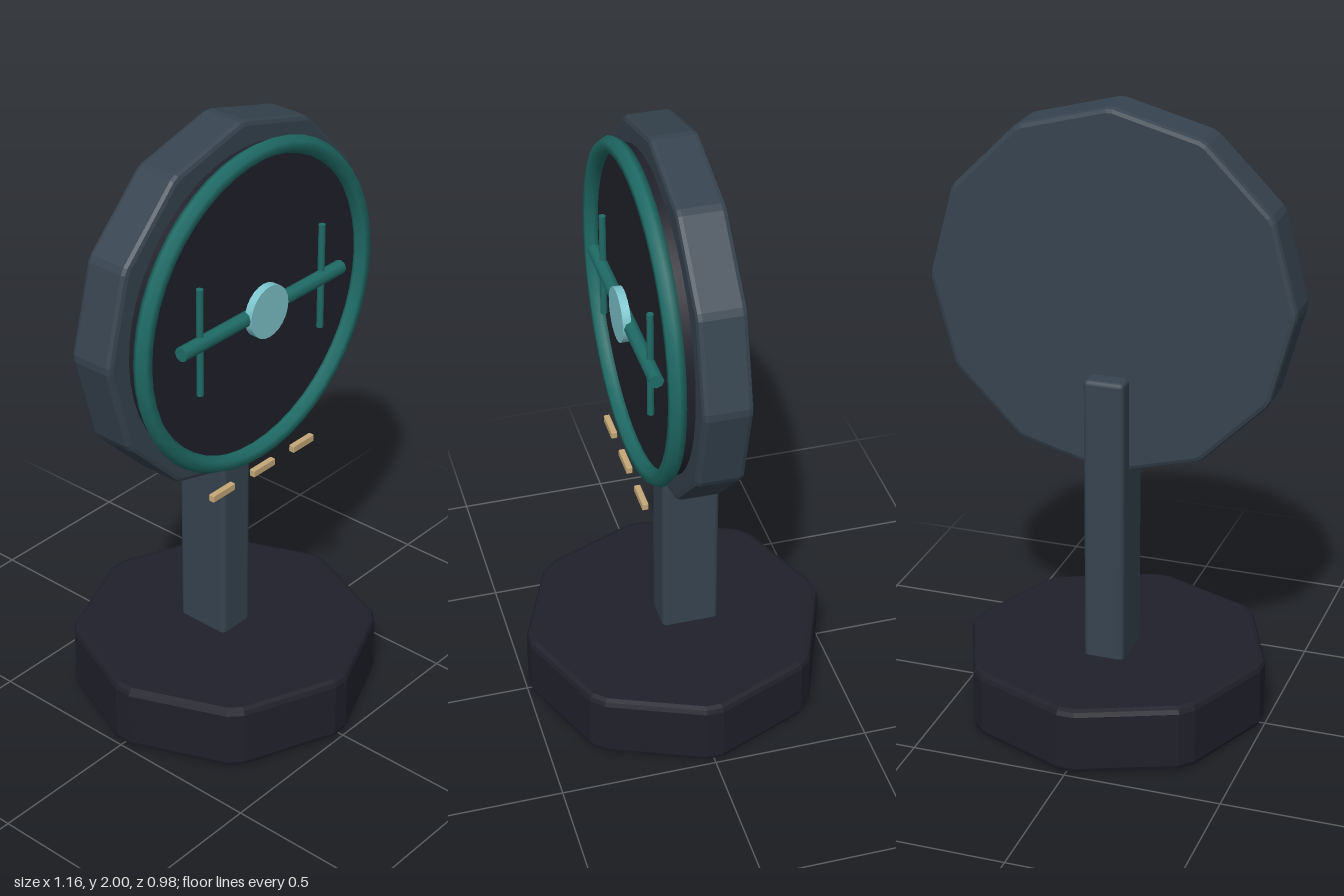
import * as THREE from 'three';
import { RoundedBoxGeometry } from 'three/addons/geometries/RoundedBoxGeometry.js';

const material = (name, color) => {
  const m = new THREE.MeshStandardMaterial({ color });
  m.name = name;
  return m;
};

// Bevelled regular prism with trimmed corners, centred, its axis along z
function bevelledPrism(sides, radius, depth, bevel, trim, turn) {
  const corner = (i) => {
    const a = turn + (i / sides) * Math.PI * 2;
    return new THREE.Vector2(Math.cos(a) * radius, Math.sin(a) * radius);
  };
  const points = [];
  for (let i = 0; i < sides; i++) {
    const c = corner(i);
    for (const n of [corner(i - 1), corner(i + 1)]) {
      points.push(c.clone().add(n.sub(c).setLength(trim)));
    }
  }
  const geo = new THREE.ExtrudeGeometry(new THREE.Shape(points), {
    depth: depth - 2 * bevel, bevelEnabled: true, bevelThickness: bevel,
    bevelSize: bevel, bevelOffset: -bevel, bevelSegments: 2,
  });
  return geo.translate(0, 0, bevel - depth / 2);
}

export function createModel() {
  const dark = material('charcoal', 0x20202b);
  const slate = material('slate', 0x36434f);
  const teal = material('teal', 0x1f6b66);
  const cyan = material('pale cyan', 0x7cc5cc);
  const tan = material('tan', 0xc4a878);

  const model = new THREE.Group();
  model.name = 'roundDeskDisplay';
  const add = (name, geo, mat, x, y, z, parent = model) => {
    const mesh = new THREE.Mesh(geo, mat);
    mesh.name = name;
    mesh.position.set(x, y, z);
    parent.add(mesh);
    return mesh;
  };

  // Octagonal foot and upright post
  add('base', bevelledPrism(8, 0.5, 0.22, 0.02, 0.03, 0).rotateX(-Math.PI / 2), dark, 0, 0.11, 0);
  add('post', new RoundedBoxGeometry(0.13, 0.98, 0.186, 2, 0.016), slate, 0, 0.67, -0.04);

  // Twelve-sided head
  const head = new THREE.Group();
  head.name = 'head';
  head.position.y = 1.418;
  model.add(head);
  add('housing', bevelledPrism(12, 0.583, 0.15, 0.016, 0.012, 0), slate, 0, 0, 0, head);
  add('facePanel', new THREE.CylinderGeometry(0.5, 0.5, 0.06, 48).rotateX(Math.PI / 2), dark, 0, 0, 0.082, head);
  add('rim', new THREE.TorusGeometry(0.5, 0.028, 6, 48), teal, 0, 0, 0.128, head);

  // Cross bar, side bars and hub
  add('crossBar', new THREE.CylinderGeometry(0.023, 0.023, 0.73, 8).rotateZ(Math.PI / 2), teal, 0, 0, 0.152, head);
  for (const s of [-1, 1]) {
    add(s < 0 ? 'rightSideBar' : 'leftSideBar', new THREE.CylinderGeometry(0.011, 0.011, 0.35, 8), teal, s * 0.277, 0, 0.147, head);
  }
  add('hub', new THREE.CylinderGeometry(0.085, 0.085, 0.026, 24).rotateX(Math.PI / 2), cyan, 0, 0, 0.165, head);

  // Row of small tabs under the head
  for (const i of [-1, 0, 1]) {
    add('tab' + (i + 2), new RoundedBoxGeometry(0.1, 0.024, 0.02, 1, 0.003), tan, i * 0.189, 0.867, 0.155);
  }
  return model;
}
